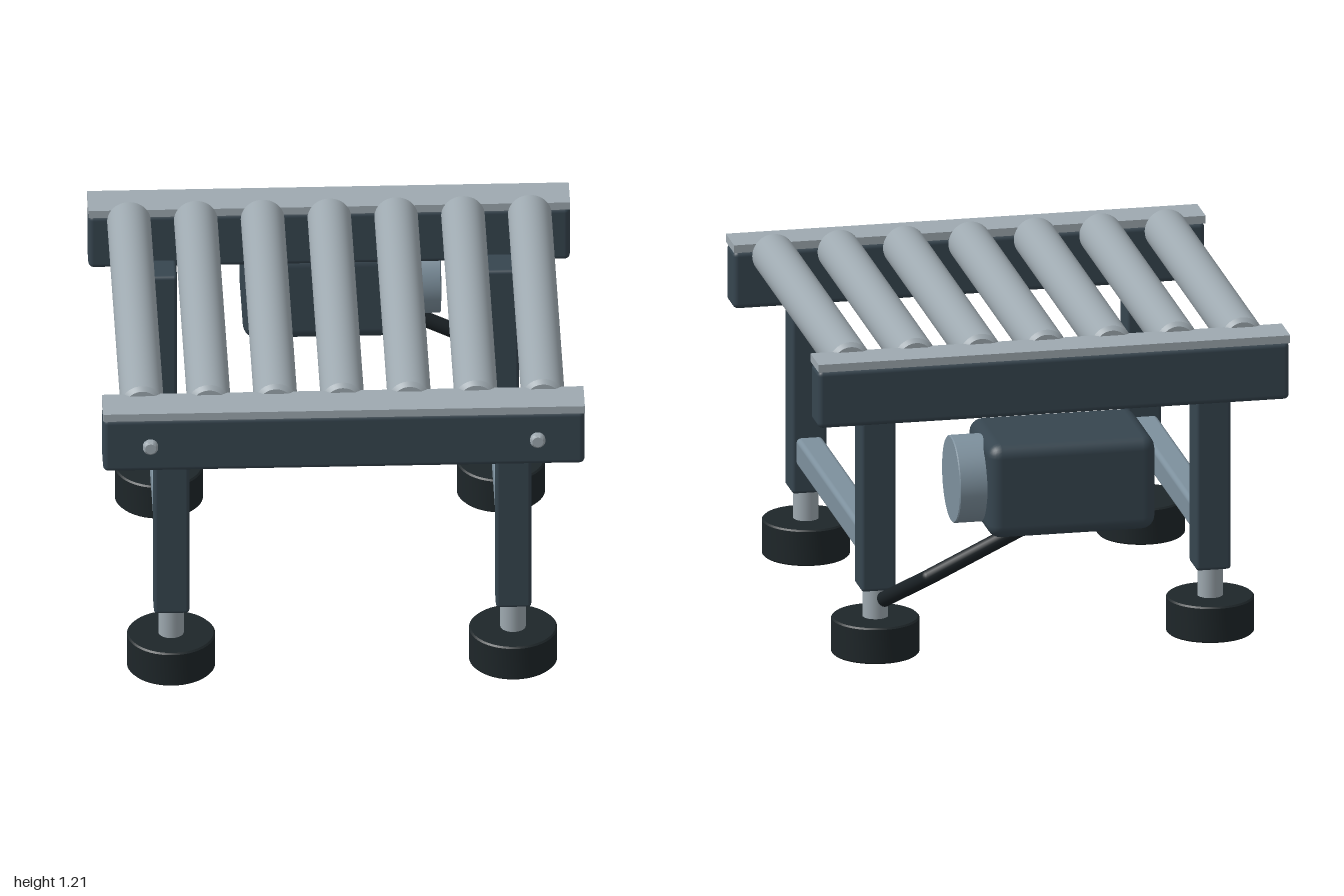
import * as THREE from 'three';
import { RoundedBoxGeometry } from 'three/addons/geometries/RoundedBoxGeometry.js';
import { toCreasedNormals } from 'three/addons/utils/BufferGeometryUtils.js';

const paint = (color) => new THREE.MeshStandardMaterial({ color });
const frameMat = paint(0x36454f);
const steelMat = paint(0x9ea9b0);
const barMat = paint(0x7d909d);
const rubberMat = paint(0x1e2629);
const cableMat = paint(0x1a2125);

const MID_Z = 0.16; // middle of the conveyor bed; the motor hangs behind it

export function createModel() {
  const model = new THREE.Group();
  model.name = 'rollerConveyor';

  function add(name, geometry, material, x, y, z) {
    const mesh = new THREE.Mesh(geometry, material);
    mesh.name = name;
    mesh.position.set(x, y, z);
    model.add(mesh);
    return mesh;
  }

  const box = (w, h, d, r) => new RoundedBoxGeometry(w, h, d, 3, r);

  // Cylinder along y with bevelled rims
  function drum(radius, length, bevel, sides = 40) {
    const h = length / 2;
    const profile = [
      [0, -h], [radius - bevel, -h], [radius, -h + bevel],
      [radius, h - bevel], [radius - bevel, h], [0, h],
    ].map(([x, y]) => new THREE.Vector2(x, y));
    return toCreasedNormals(new THREE.LatheGeometry(profile, sides), 0.5);
  }

  // Side rails with cover strips and bolts on the forward face
  const railGeo = box(1.766, 0.22, 0.13, 0.02);
  const stripGeo = new THREE.BoxGeometry(1.766, 0.03, 0.148);
  const boltGeo = drum(0.028, 0.05, 0.008, 20).rotateX(Math.PI / 2);
  for (const side of [1, -1]) {
    const z = MID_Z + side * 0.75;
    const label = side > 0 ? 'front' : 'back';
    add(label + 'Rail', railGeo, frameMat, 0, 1.04, z);
    add(label + 'RailStrip', stripGeo, steelMat, 0, 1.165, z);
    for (const x of [-0.71, 0.71]) add(label + 'Bolt', boltGeo, steelMat, x, 1.04, z + 0.065);
  }

  // Rollers
  const rollerGeo = drum(0.08, 1.385, 0.015).rotateX(Math.PI / 2);
  for (let i = -3; i <= 3; i++) add('roller', rollerGeo, steelMat, i * 0.245, 1.134, MID_Z);

  // Legs, levelling stems, feet and cross bars
  const legGeo = box(0.13, 0.718, 0.132, 0.013);
  const stemGeo = new THREE.CylinderGeometry(0.047, 0.047, 0.16, 28);
  const footGeo = drum(0.162, 0.138, 0.006, 48);
  const barGeo = box(0.1, 0.107, 1.12, 0.018);
  for (const x of [-0.627, 0.627]) {
    for (const z of [MID_Z - 0.615, MID_Z + 0.615]) {
      add('leg', legGeo, frameMat, x, 0.609, z);
      add('levelingStem', stemGeo, steelMat, x, 0.2, z);
      add('foot', footGeo, rubberMat, x, 0.069, z);
    }
    add('crossBar', barGeo, barMat, x, 0.412, MID_Z);
  }

  // Drive motor with round end cover
  add('motorHousing', box(0.626, 0.36, 0.405, 0.05), frameMat, 0, 0.748, -0.795);
  add('motorEndCover', drum(0.162, 0.17, 0.004, 48).rotateZ(Math.PI / 2), barMat, 0.33, 0.752, -0.793);

  // Bent power cable
  const path = [[0.06, 0.63, -0.888], [0.52, 0.41, -0.888], [0.625, 0.245, -0.6]]
    .map((p) => new THREE.Vector3(...p));
  for (let i = 0; i < 2; i++) {
    const span = path[i + 1].clone().sub(path[i]);
    const middle = path[i].clone().add(path[i + 1]).multiplyScalar(0.5);
    const geo = new THREE.CylinderGeometry(0.029, 0.029, span.length(), 20);
    const segment = add('cableSegment', geo, cableMat, ...middle.toArray());
    segment.quaternion.setFromUnitVectors(new THREE.Vector3(0, 1, 0), span.normalize());
  }
  add('cableBend', new THREE.SphereGeometry(0.029, 20, 14), cableMat, ...path[1].toArray());

  return model;
}
